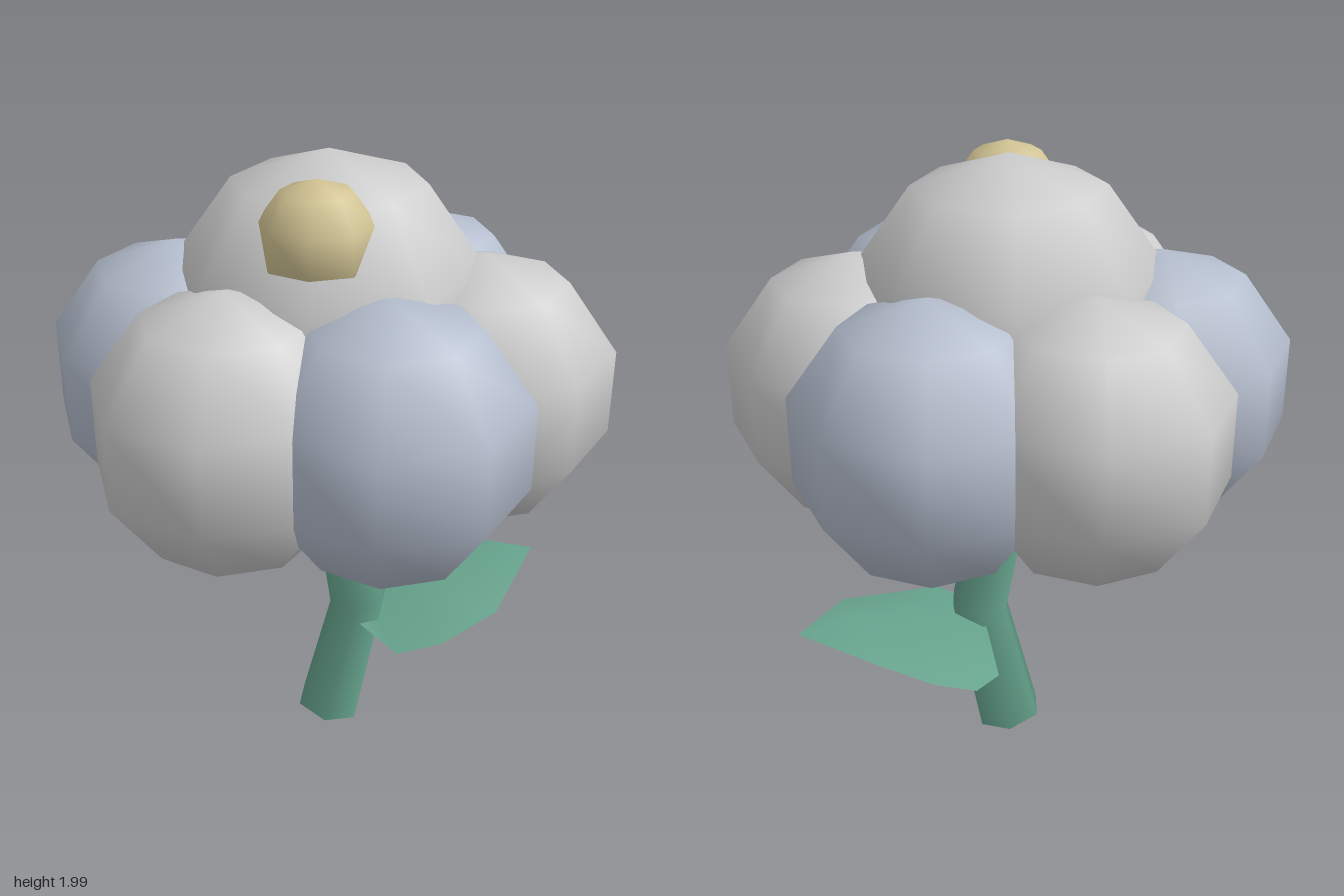
import * as THREE from 'three';

const paint = (color, side = THREE.FrontSide) => new THREE.MeshStandardMaterial({ color, side });
const white = paint(0xcccccc);
const blue = paint(0xb4bdcd);
const yellow = paint(0xd0c292);
const green = paint(0x66a38d);
const leafGreen = paint(0x66a38d, THREE.DoubleSide);

function addMesh(group, name, geometry, material) {
  const mesh = new THREE.Mesh(geometry, material);
  mesh.name = name;
  group.add(mesh);
  return mesh;
}

// Coarse smooth-shaded ball shared by every part of the bloom
const ball = (radius) => new THREE.SphereGeometry(radius, 8, 5);

// Six-sided stem: a cylinder with its three rings moved onto a bent path
function stemGeometry() {
  const rings = [
    { x: 0, y: 0.03, z: 0, r: 0.11, tilt: -0.21 },
    { x: 0.1, y: 0.49, z: 0, r: 0.1, tilt: 0.1 },
    { x: -0.04, y: 1.2, z: -0.07, r: 0.075, tilt: 0.2 },
  ];
  const geometry = new THREE.CylinderGeometry(1, 1, 2, 6, 2);
  const p = geometry.attributes.position;
  for (let i = 0; i < p.count; i++) {
    const ring = rings[Math.round(p.getY(i) + 1)];
    const dx = p.getX(i) * ring.r;
    p.setXYZ(i, ring.x + dx, ring.y + ring.tilt * dx, ring.z + p.getZ(i) * ring.r);
  }
  return geometry;
}

// Leaf: cross-sections (front edge, midrib, back edge) that meet at the tip
function leafGeometry() {
  const tip = [0.67, 0.55, -0.28];
  const rows = [
    [[0.11, 0.43, 0.08], [0.075, 0.45, -0.12], [0.04, 0.42, -0.33]],
    [[0.25, 0.412, 0.21], [0.18, 0.49, -0.11], [0.11, 0.435, -0.43]],
    [[0.39, 0.425, 0.155], [0.31, 0.53, -0.14], [0.24, 0.46, -0.43]],
    [[0.56, 0.48, 0.03], [0.49, 0.548, -0.18], [0.42, 0.51, -0.39]],
  ];
  const index = [];
  const tipIndex = rows.length * 3;
  for (let i = 0; i < rows.length; i++) {
    for (let j = 0; j < 2; j++) {
      const a = i * 3 + j;
      if (i === rows.length - 1) index.push(a, tipIndex, a + 1);
      else index.push(a, a + 3, a + 1, a + 3, a + 4, a + 1);
    }
  }
  const geometry = new THREE.BufferGeometry();
  geometry.setAttribute('position', new THREE.Float32BufferAttribute([...rows.flat(2), ...tip], 3));
  geometry.setIndex(index);
  geometry.computeVertexNormals();
  return geometry;
}

export function createModel() {
  const flower = new THREE.Group();
  flower.name = 'flower';

  // Ring of six petals in alternating colours
  const petals = new THREE.Group();
  petals.name = 'petals';
  flower.add(petals);
  for (let i = 0; i < 6; i++) {
    const angle = (i * Math.PI) / 3;
    const petal = addMesh(petals, `petal${i + 1}`, ball(0.42), i % 2 ? blue : white);
    petal.position.set(0.46 * Math.cos(angle), 1.29, 0.46 * Math.sin(angle));
  }

  // Central dome and the small bud on its front
  addMesh(flower, 'centre', ball(0.49), white).position.y = 1.51;
  addMesh(flower, 'bud', ball(0.175), yellow).position.set(0, 1.805, 0.24);

  addMesh(flower, 'stem', stemGeometry(), green);
  addMesh(flower, 'leaf', leafGeometry(), leafGreen);
  return flower;
}
